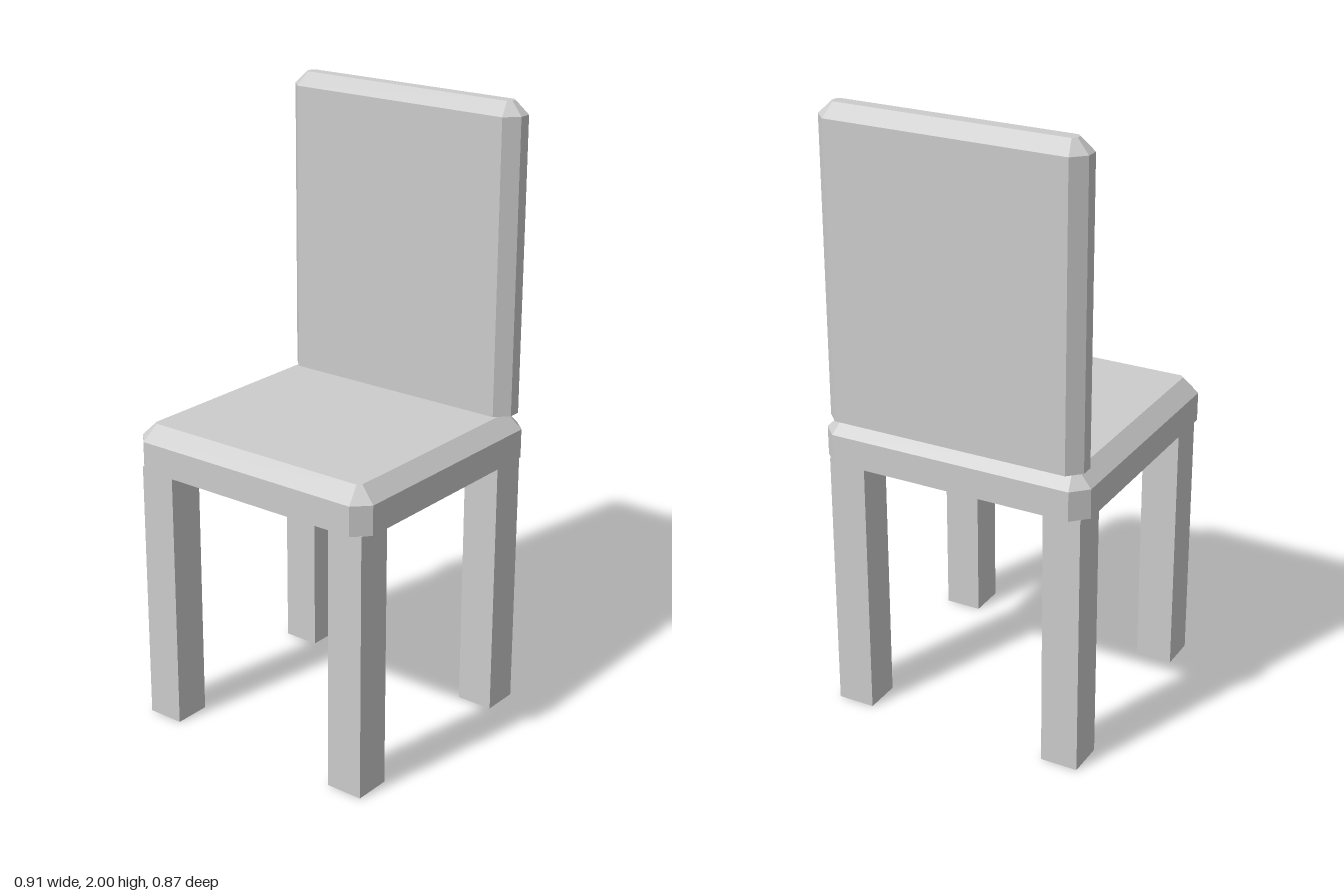
import * as THREE from 'three';

// Octagonal ring: rectangle with cut corners, counter-clockwise seen from above
function ring(hx, hz, cut, y) {
  return [
    [hx, hz - cut], [hx, cut - hz], [hx - cut, -hz], [cut - hx, -hz],
    [-hx, cut - hz], [-hx, hz - cut], [cut - hx, hz], [hx - cut, hz],
  ].map(([x, z]) => new THREE.Vector3(x, y, z));
}

// Slab with chamfered vertical corners and a bevelled top, flat underneath
function bevelledSlab(hx, hz, bevel, y0, y1, topCut) {
  const rings = [
    ring(hx, hz, bevel, y0),
    ring(hx, hz, bevel, y1 - bevel),
    ring(hx - bevel, hz - bevel, topCut, y1),
  ];
  const points = [];
  for (let r = 0; r < 2; r++) {
    for (let i = 0; i < 8; i++) {
      const j = (i + 1) % 8;
      const a = rings[r][i], b = rings[r][j], c = rings[r + 1][j], d = rings[r + 1][i];
      points.push(a, b, c, a, c, d);
    }
  }
  for (let i = 1; i < 7; i++) {
    points.push(rings[2][0], rings[2][i], rings[2][i + 1]);
    points.push(rings[0][0], rings[0][i + 1], rings[0][i]);
  }
  const geometry = new THREE.BufferGeometry().setFromPoints(points);
  geometry.computeVertexNormals();
  return geometry;
}

export function createModel() {
  const group = new THREE.Group();
  group.name = 'chair';
  const grey = new THREE.MeshStandardMaterial({ color: 0xcccccc });
  grey.name = 'light grey';

  const add = (name, geometry, x, y, z) => {
    const mesh = new THREE.Mesh(geometry, grey);
    mesh.name = name;
    mesh.position.set(x, y, z);
    group.add(mesh);
  };

  // Seat and upright back
  add('seat', bevelledSlab(0.453, 0.434, 0.049, 0.868, 1.012, 0.012), 0, 0, 0);
  add('backrest', bevelledSlab(0.433, 0.0615, 0.041, 1.012, 2, 0.012), 0, 0, -0.3725);

  // Four square legs
  const leg = new THREE.BoxGeometry(0.123, 0.868, 0.123);
  for (const [side, x] of [['left', 0.3705], ['right', -0.3705]]) {
    add(side + 'FrontLeg', leg, x, 0.434, 0.351);
    add(side + 'BackLeg', leg, x, 0.434, -0.349);
  }
  return group;
}
